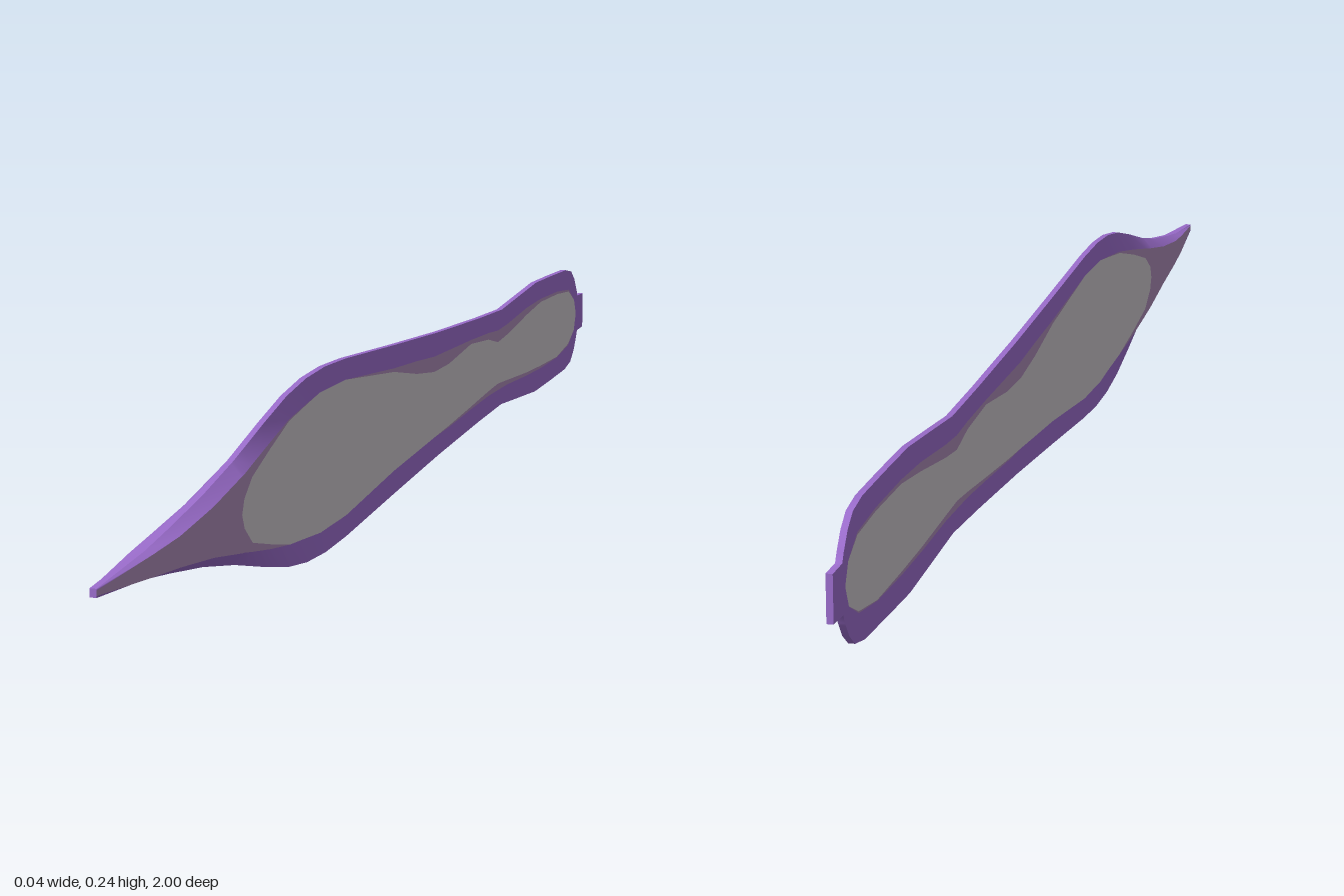
import * as THREE from 'three';

const MID = 0.126;   // height of the blade's centre line
const EDGE = 0.004;  // half thickness along the rim

// z, half height, half thickness
const OUTLINE = [
  [-1, 0.028, 0.004], [-0.966, 0.029, 0.004], [-0.96, 0.04, 0.004], [-0.945, 0.06, 0.004],
  [-0.925, 0.075, 0.004], [-0.89, 0.082, 0.004], [-0.8, 0.085, 0.004], [-0.71, 0.087, 0.004],
  [-0.6, 0.079, 0.004], [-0.52, 0.073, 0.004], [-0.4, 0.078, 0.004], [-0.2, 0.089, 0.004],
  [0, 0.103, 0.004], [0.2, 0.118, 0.004], [0.28, 0.121, 0.004], [0.35, 0.118, 0.005],
  [0.42, 0.108, 0.007], [0.5, 0.089, 0.012], [0.6, 0.063, 0.017], [0.7, 0.042, 0.018],
  [0.8, 0.026, 0.0175], [0.87, 0.016, 0.014], [1, 0.005, 0.004],
];

// z, then offsets from the centre line: inlay bottom, panel bottom, panel top, inlay top
const PANEL = [
  [-1, 0, 0, 0, 0], [-0.957, 0, 0, 0, 0], [-0.945, -0.026, -0.026, 0.025, 0.025],
  [-0.91, -0.045, -0.043, 0.044, 0.047], [-0.84, -0.054, -0.053, 0.05, 0.054],
  [-0.74, -0.055, -0.051, 0.052, 0.057], [-0.66, -0.053, -0.048, 0.044, 0.055],
  [-0.55, -0.048, -0.041, 0.03, 0.046], [-0.5, -0.048, -0.038, 0.026, 0.044],
  [-0.45, -0.048, -0.041, 0.038, 0.048], [-0.36, -0.052, -0.048, 0.046, 0.052],
  [-0.25, -0.058, -0.056, 0.035, 0.055], [-0.18, -0.06, -0.06, 0.035, 0.057],
  [-0.1, -0.065, -0.065, 0.046, 0.064], [0, -0.071, -0.071, 0.066, 0.071],
  [0.2, -0.09, -0.09, 0.09, 0.09], [0.3, -0.091, -0.091, 0.091, 0.091],
  [0.42, -0.079, -0.079, 0.077, 0.079], [0.5, -0.066, -0.06, 0.058, 0.066],
  [0.57, -0.053, -0.042, 0.038, 0.053], [0.6, -0.047, -0.018, 0.018, 0.047],
  [0.608, -0.046, 0, 0, 0.046], [0.7, -0.03, 0, 0, 0.03],
  [0.8, -0.018, 0, 0, 0.018], [1, -0.003, 0, 0, 0.003],
];

function sample(table, z) {
  let i = 1;
  while (i < table.length - 1 && table[i][0] < z) i++;
  const a = table[i - 1], b = table[i];
  const f = (z - a[0]) / (b[0] - a[0]);
  return a.map((v, k) => v + (b[k] - v) * f);
}

// Every station along the blade holds six points of the right-hand half section
const stations = [...new Set([...OUTLINE, ...PANEL].map((row) => row[0]))].sort((a, b) => a - b);
const sections = stations.map((z) => {
  const [, h, t] = sample(OUTLINE, z);
  const [, m0, g0, g1, m1] = sample(PANEL, z);
  return [[EDGE, -h], [t, m0], [t, g0], [t, g1], [t, m1], [EDGE, h]]
    .map(([x, y]) => new THREE.Vector3(x, MID + y, z));
});

// Ribbon between two rails running from back to front
function ribbon(lower, upper) {
  const pos = [], index = [];
  lower.forEach((p, i) => {
    pos.push(...p.toArray(), ...upper[i].toArray());
    if (i === 0) return;
    const a = 2 * i - 2;
    if (lower[i - 1].distanceTo(upper[i - 1]) + p.distanceTo(upper[i]) < 1e-5) return;
    index.push(a, a + 1, a + 3, a, a + 3, a + 2);
  });
  const g = new THREE.BufferGeometry();
  g.setAttribute('position', new THREE.Float32BufferAttribute(pos, 3));
  g.setIndex(index);
  g.computeVertexNormals();
  return g;
}

export function createModel() {
  const make = (name, color) => {
    const m = new THREE.MeshStandardMaterial({ color, side: THREE.DoubleSide });
    m.name = name;
    return m;
  };
  const purple = make('purple', 0x9a6ccb);
  const mauve = make('mauve', 0xa988b4);
  const grey = make('pale grey', 0xc9c4c9);

  const model = new THREE.Group();
  model.name = 'blade';
  const add = (name, geometry, material) => {
    const mesh = new THREE.Mesh(geometry, material);
    mesh.name = name;
    model.add(mesh);
  };
  const rail = (k, side) => sections.map((s) => new THREE.Vector3(s[k].x * side, s[k].y, s[k].z));

  // Coloured bands on both faces
  const bands = [['lowerBorder', purple], ['lowerInlay', mauve], ['panel', grey],
    ['upperInlay', mauve], ['upperBorder', purple]];
  for (const [label, side] of [['left', 1], ['right', -1]]) {
    bands.forEach(([name, material], k) => {
      const low = rail(k, side), high = rail(k + 1, side);
      add(label + name[0].toUpperCase() + name.slice(1),
        side > 0 ? ribbon(low, high) : ribbon(high, low), material);
    });
  }

  // Narrow rims closing the top and bottom edges
  add('topRim', ribbon(rail(5, 1), rail(5, -1)), purple);
  add('bottomRim', ribbon(rail(0, -1), rail(0, 1)), purple);

  // End caps at the tip and the butt
  for (const [name, z, h] of [['tipCap', 1, 0.005], ['buttCap', -1, 0.028]]) {
    const cap = new THREE.PlaneGeometry(2 * EDGE, 2 * h);
    if (z < 0) cap.rotateY(Math.PI);
    add(name, cap.translate(0, MID, z), purple);
  }
  return model;
}
